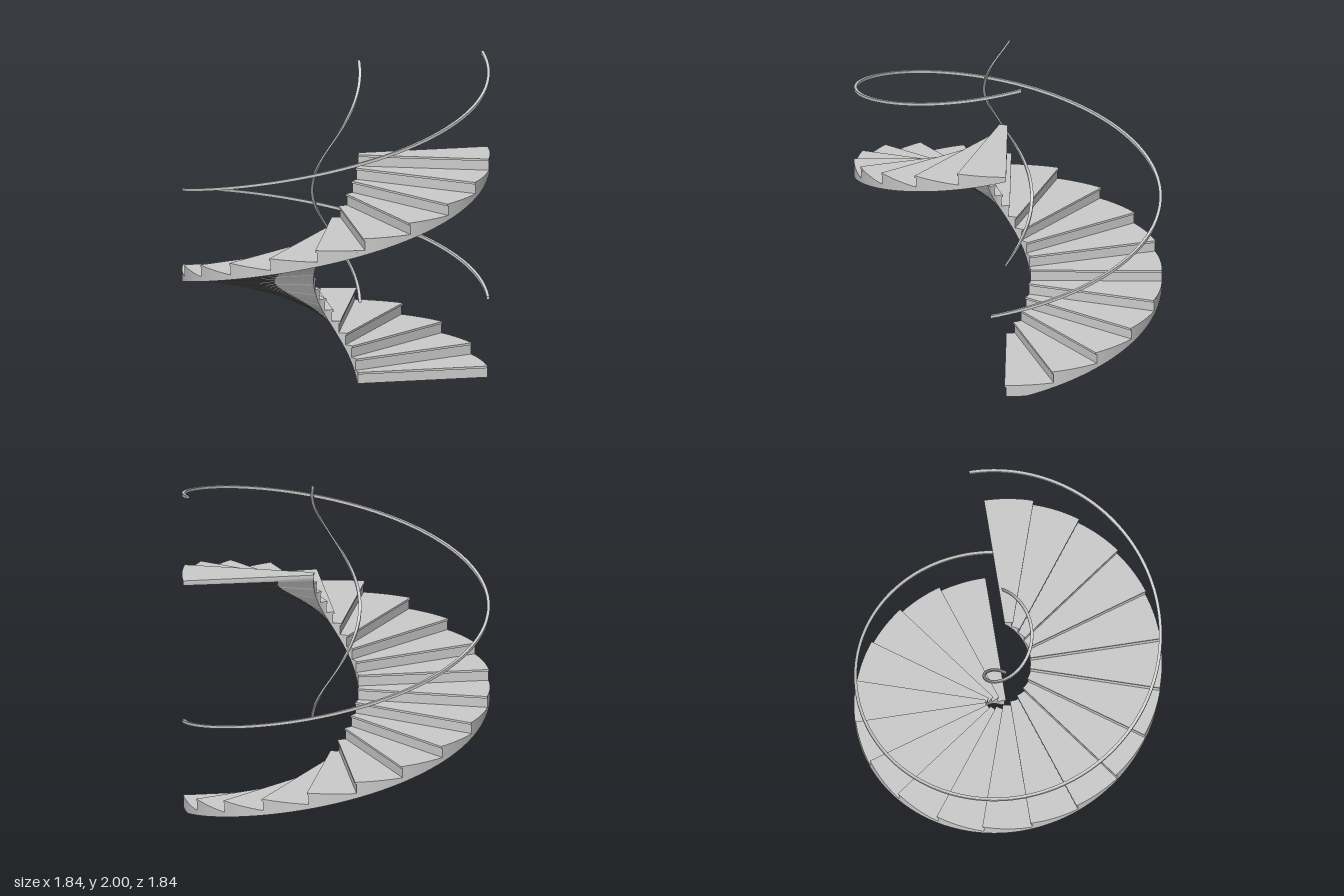
import * as THREE from 'three';
import { toCreasedNormals } from 'three/addons/utils/BufferGeometryUtils.js';

const STEPS = 20, RISE = 0.0715, TURN = (Math.PI * 2) / STEPS;
const SLOPE = RISE / TURN;            // climb per radian
const R_IN = 0.134, R_OUT = 0.922;    // inner and outer edge of the flight
const TREAD = 0.013, NOSING = 0.009;  // tread thickness and overhang

const polar = (r, t, y) => [r * Math.cos(t), y, -r * Math.sin(t)];

// Closed solid through four-cornered sections:
// inner bottom, outer bottom, outer top, inner top
function sweep(count, section) {
  const pos = [];
  const quad = (a, b, c, d) => pos.push(...a, ...b, ...c, ...a, ...c, ...d);
  let prev = section(0);
  quad(...prev);
  for (let k = 1; k <= count; k++) {
    const next = section(k / count);
    for (let j = 0; j < 4; j++) {
      const m = (j + 1) % 4;
      quad(prev[j], next[j], next[m], prev[m]);
    }
    prev = next;
  }
  quad(prev[3], prev[2], prev[1], prev[0]);
  const geo = new THREE.BufferGeometry();
  geo.setAttribute('position', new THREE.Float32BufferAttribute(pos, 3));
  return toCreasedNormals(geo, 0.6);
}

export function createModel() {
  const model = new THREE.Group();
  model.name = 'spiralStaircase';
  const material = new THREE.MeshStandardMaterial({ color: 0xcccccc });
  const add = (parent, name, geo) => {
    const mesh = new THREE.Mesh(geo, material);
    mesh.name = name;
    parent.add(mesh);
  };

  // Steps: a body with sloping underside, capped by a tread with a nosing
  for (let i = 0; i < STEPS; i++) {
    const step = new THREE.Group();
    step.name = `step${i + 1}`;
    const t0 = i * TURN, top = (i + 1) * RISE, under = top - TREAD;

    add(step, 'stepBody', sweep(10, (u) => {
      const t = t0 + u * TURN;
      const low = Math.max(0, SLOPE * t - 0.03);
      return [polar(R_IN, t, low), polar(R_OUT, t, low),
        polar(R_OUT, t, under), polar(R_IN, t, under)];
    }));

    add(step, 'tread', sweep(10, (u) => {
      // Front edge is shifted parallel to the riser
      const at = (r) => t0 + u * TURN - (1 - u) * (NOSING / r);
      const a = at(R_IN), b = at(R_OUT);
      return [polar(R_IN, a, under), polar(R_OUT, b, under),
        polar(R_OUT, b, top), polar(R_IN, a, top)];
    }));
    model.add(step);
  }

  // Handrails: square bars following the helix above each edge
  const half = 0.009, extra = 0.1;
  const rail = (name, r) => add(model, name, sweep(160, (u) => {
    const t = -extra + u * (Math.PI * 2 + extra * 2);
    const y = 0.538 + SLOPE * t;
    return [polar(r - half, t, y - half), polar(r + half, t, y - half),
      polar(r + half, t, y + half), polar(r - half, t, y + half)];
  }));
  rail('innerHandrail', R_IN + half);
  rail('outerHandrail', R_OUT - half);

  return model;
}
